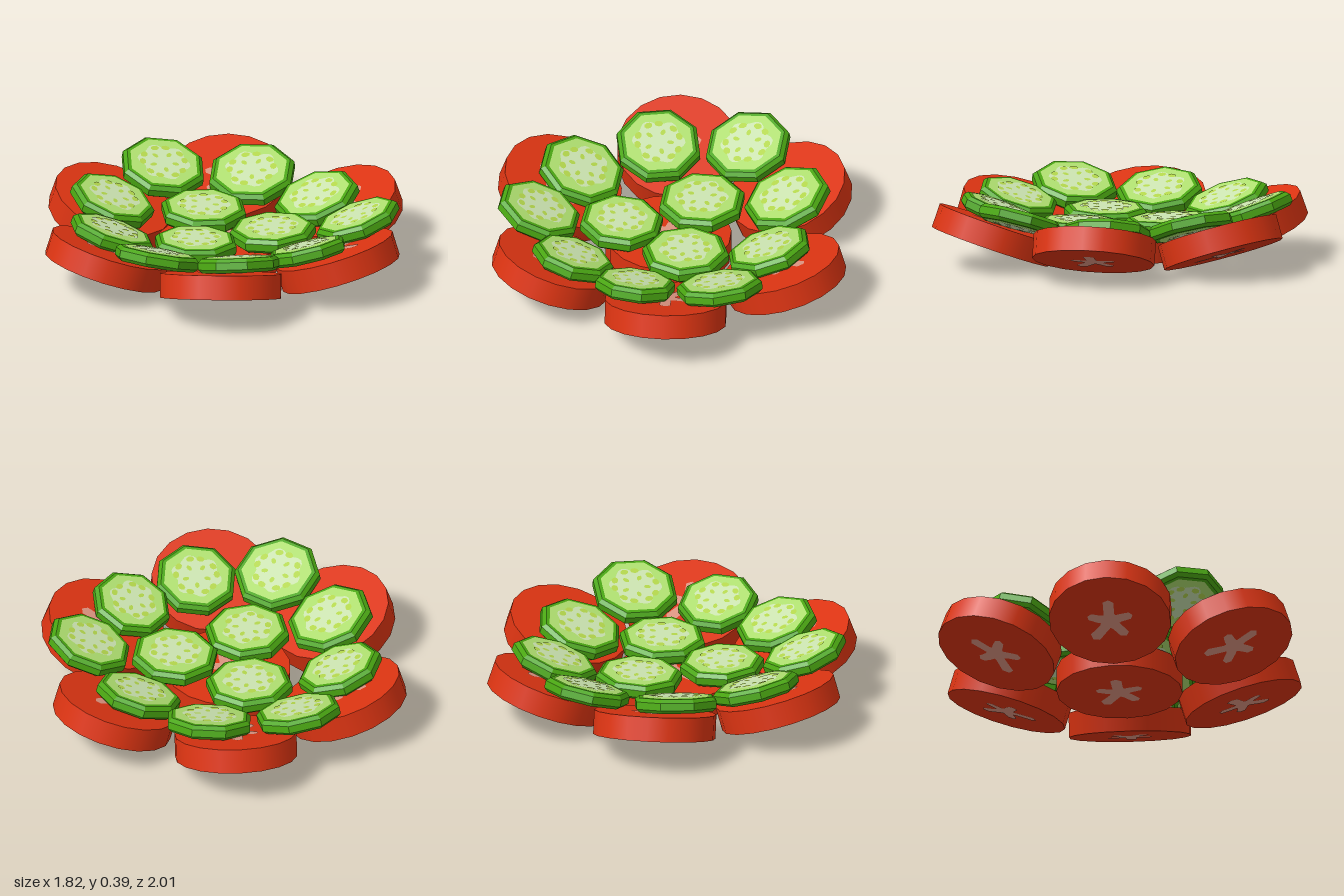
import * as THREE from 'three';

const mat = (name, color) => Object.assign(new THREE.MeshStandardMaterial({ color }), { name });
const tomatoRed = mat('tomato red', 0xdc3412);
const tomatoCore = mat('tomato core pink', 0xdc9480);
const peelGreen = mat('cucumber peel green', 0x4aa612);
const fleshGreen = mat('cucumber flesh green', 0xafdf70);
const pulpPale = mat('cucumber pulp pale', 0xcbe3b0);
const seedYellow = mat('cucumber seed yellow green', 0xb3d64c);

function add(parent, name, geometry, material, y = 0) {
  const mesh = new THREE.Mesh(geometry, material);
  mesh.name = name;
  mesh.position.y = y;
  parent.add(mesh);
  return mesh;
}

// Flat plate facing +y; shape y becomes +z outward
function plate(radiusAt, steps) {
  const pts = [];
  for (let i = 0; i < steps; i++) {
    const a = (i / steps) * Math.PI * 2;
    const r = radiusAt(a, i);
    pts.push(new THREE.Vector2(Math.sin(a) * r, -Math.cos(a) * r));
  }
  return new THREE.ShapeGeometry(new THREE.Shape(pts)).rotateX(-Math.PI / 2);
}

// Both faces of a slice carry the same painted details
function bothFaces(slice, half, decorate) {
  for (const flip of [0, 1]) {
    const face = new THREE.Group();
    face.name = flip ? 'lowerFace' : 'upperFace';
    face.position.y = flip ? -half : half;
    face.rotation.z = flip * Math.PI;
    decorate(face);
    slice.add(face);
  }
}

// Tomato: smooth disc with a five-armed core
const T_HALF = 0.063;
const tomatoGeo = new THREE.CylinderGeometry(0.315, 0.315, T_HALF * 2, 18);
const armLength = [0.15, 0.12, 0.16, 0.135, 0.125];
const coreGeo = plate((a, i) => {
  const arm = armLength[Math.floor(((i + 3) % 30) / 6)];
  return [arm, arm * 0.92, 0.072, 0.05, 0.06, arm * 0.88][i % 6];
}, 30);

function tomatoSlice() {
  const g = new THREE.Group();
  g.name = 'tomatoSlice';
  add(g, 'tomatoDisc', tomatoGeo, tomatoRed);
  bothFaces(g, T_HALF, (f) => add(f, 'tomatoCore', coreGeo, tomatoCore, 0.003));
  return g;
}

// Cucumber: faceted eight-sided disc with a slight bevel
const C_HALF = 0.037;
const peelGeo = new THREE.LatheGeometry(
  [[0, -C_HALF], [0.198, -C_HALF], [0.218, -0.02], [0.218, 0.018], [0.198, C_HALF], [0, C_HALF]]
    .map(([r, y]) => new THREE.Vector2(r, y)), 8).toNonIndexed();
peelGeo.computeVertexNormals();
const fleshGeo = plate(() => 0.18, 8);
const pulpGeo = plate((a) => 0.122 + 0.013 * Math.cos(a * 6) + 0.006 * Math.sin(a * 3), 36);
const seedGeo = new THREE.CircleGeometry(1, 8).rotateX(-Math.PI / 2);

function cucumberSlice(radius, spin) {
  const g = new THREE.Group();
  g.name = 'cucumberSlice';
  const body = new THREE.Group();
  body.name = 'cucumberBody';
  body.rotation.y = spin;
  body.scale.set(radius / 0.215, 1, radius / 0.215);
  g.add(body);
  add(body, 'cucumberPeel', peelGeo, peelGreen);
  bothFaces(body, C_HALF, (f) => {
    add(f, 'cucumberFlesh', fleshGeo, fleshGreen, 0.002);
    add(f, 'cucumberPulp', pulpGeo, pulpPale, 0.004);
    // Outer ring of ten seeds, inner ring of five
    for (let i = 0; i < 15; i++) {
      const outer = i < 10;
      const a = outer ? (i / 10) * Math.PI * 2 + (i % 2) * 0.12 : ((i + 0.3) / 5) * Math.PI * 2;
      const r = outer ? 0.108 : 0.06;
      const seed = add(f, 'cucumberSeed', seedGeo, seedYellow, 0.006);
      seed.position.x = Math.sin(a) * r;
      seed.position.z = Math.cos(a) * r;
      seed.rotation.y = a;
      seed.scale.set(outer ? 0.022 : 0.012, 1, outer ? 0.017 : 0.018);
    }
  });
  return g;
}

// Places a slice so that its outer edge is raised by the tilt
function place(slice, x, y, z, tilt) {
  slice.position.set(x, y, z);
  slice.rotation.set(-tilt, Math.atan2(x, z), 0, 'YXZ');
  return slice;
}

export function createModel() {
  const model = new THREE.Group();
  model.name = 'saladSlices';
  const TILT = THREE.MathUtils.degToRad(20);

  // Tomato ring around a flat middle slice
  const middle = place(tomatoSlice(), -0.02, 0.085, 0.01, 0);
  middle.scale.set(1.03, 1, 1.03);
  model.add(middle);
  for (let i = 0; i < 6; i++) {
    const a = (i * Math.PI) / 3;
    model.add(place(tomatoSlice(), Math.sin(a) * 0.685, 0.167, Math.cos(a) * 0.685, TILT));
  }

  // Cucumbers: x, z, radius, spin
  const cucumbers = [
    [-0.33, -0.61, 0.22, 0.0], [0.13, -0.6, 0.225, 0.5], [0.47, -0.32, 0.22, 0.2],
    [-0.58, -0.22, 0.22, 0.4], [-0.11, -0.23, 0.222, 0.1], [0.25, 0.05, 0.222, 0.35],
    [0.69, 0.08, 0.22, 0.3], [-0.57, 0.23, 0.222, 0.15], [-0.14, 0.22, 0.215, 0.3],
    [-0.33, 0.6, 0.22, 0.25], [0.09, 0.62, 0.21, 0.1], [0.44, 0.44, 0.205, 0.45],
  ];
  for (const [x, z, radius, spin] of cucumbers) {
    const d = Math.hypot(x, z);
    const inner = d < 0.4;
    const y = inner ? 0.2 : 0.25 + (d - 0.6) * 0.36;
    model.add(place(cucumberSlice(radius, spin), x, y, z, inner ? 0.05 : TILT));
  }
  return model;
}
